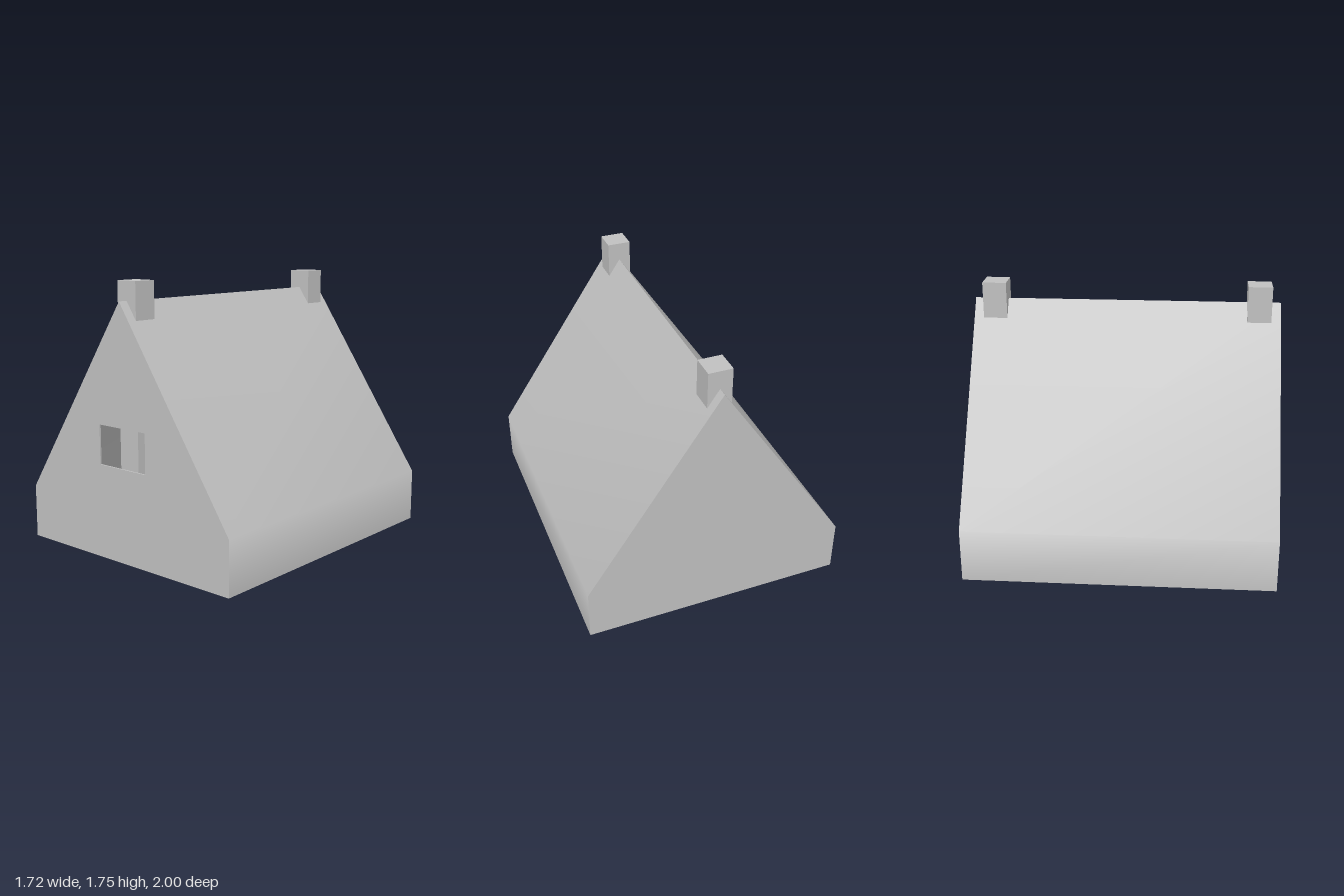
import * as THREE from 'three';
import { mergeGeometries } from 'three/addons/utils/BufferGeometryUtils.js';

const HALF_LENGTH = 1, WALL = 0.01;
// Right half of the house section, from ground to eave to ridge
const OUTER = [[0.86, 0], [0.86, 0.35], [0, 1.63]];
const INNER = [[0.85, 0], [0.85, 0.347], [0, 1.612]];

const mirror = (points) => points.map(([x, y]) => [-x, y]).reverse();
const outline = (half) => [...half, ...mirror(half).slice(1)];
const vectors = (points) => points.map(([x, y]) => new THREE.Vector2(x, y));

// Sweeps a section line along z; the points within one strip shade smoothly
function strip(points) {
  const position = [], index = [];
  points.forEach(([x, y], i) => {
    position.push(x, y, HALF_LENGTH, x, y, -HALF_LENGTH);
    if (i > 0) {
      const a = 2 * i - 2;
      index.push(a, a + 1, a + 3, a, a + 3, a + 2);
    }
  });
  const geometry = new THREE.BufferGeometry();
  geometry.setAttribute('position', new THREE.Float32BufferAttribute(position, 3));
  geometry.setIndex(index);
  geometry.computeVertexNormals();
  return geometry;
}

export function createModel() {
  const model = new THREE.Group();
  model.name = 'house';
  const plaster = new THREE.MeshStandardMaterial({ color: 0xc0c0c0, side: THREE.DoubleSide });
  plaster.name = 'plain grey';

  const add = (name, geometry, x = 0, y = 0, z = 0) => {
    const mesh = new THREE.Mesh(geometry, plaster);
    mesh.name = name;
    mesh.position.set(x, y, z);
    model.add(mesh);
    return mesh;
  };

  // Roof and side walls: a thin shell, open underneath
  add('roofAndSideWalls', mergeGeometries([
    strip(OUTER),
    strip(mirror(OUTER)),
    strip([...INNER].reverse()),
    strip(mirror(INNER).reverse()),
    strip([INNER[0], OUTER[0]]),
    strip([[-OUTER[0][0], 0], [-INNER[0][0], 0]]),
  ]));

  // Narrow edges of the shell at both gable ends
  const edge = new THREE.Shape(vectors([...outline(OUTER), ...outline(INNER).reverse()]));
  add('frontShellEdge', new THREE.ShapeGeometry(edge), 0, 0, HALF_LENGTH);
  add('backShellEdge', new THREE.ShapeGeometry(edge), 0, 0, -HALF_LENGTH).rotation.y = Math.PI;

  // Gable walls; the front one has a window opening
  const plate = { depth: WALL, bevelEnabled: false };
  const frontWall = new THREE.Shape(vectors(outline(INNER)));
  frontWall.holes.push(new THREE.Path(vectors([[-0.2, 0.605], [-0.2, 0.86], [0.2, 0.86], [0.2, 0.605]])));
  add('frontGable', new THREE.ExtrudeGeometry(frontWall, plate), 0, 0, HALF_LENGTH - WALL);
  const backWall = new THREE.Shape(vectors(outline(INNER)));
  add('backGable', new THREE.ExtrudeGeometry(backWall, plate), 0, 0, -HALF_LENGTH);

  // Chimneys run from the ground up through the ridge
  for (const [name, z] of [['frontChimney', 0.86], ['backChimney', -0.86]]) {
    add(name, new THREE.BoxGeometry(0.155, 1.75, 0.155), 0, 0.875, z);
  }
  return model;
}
